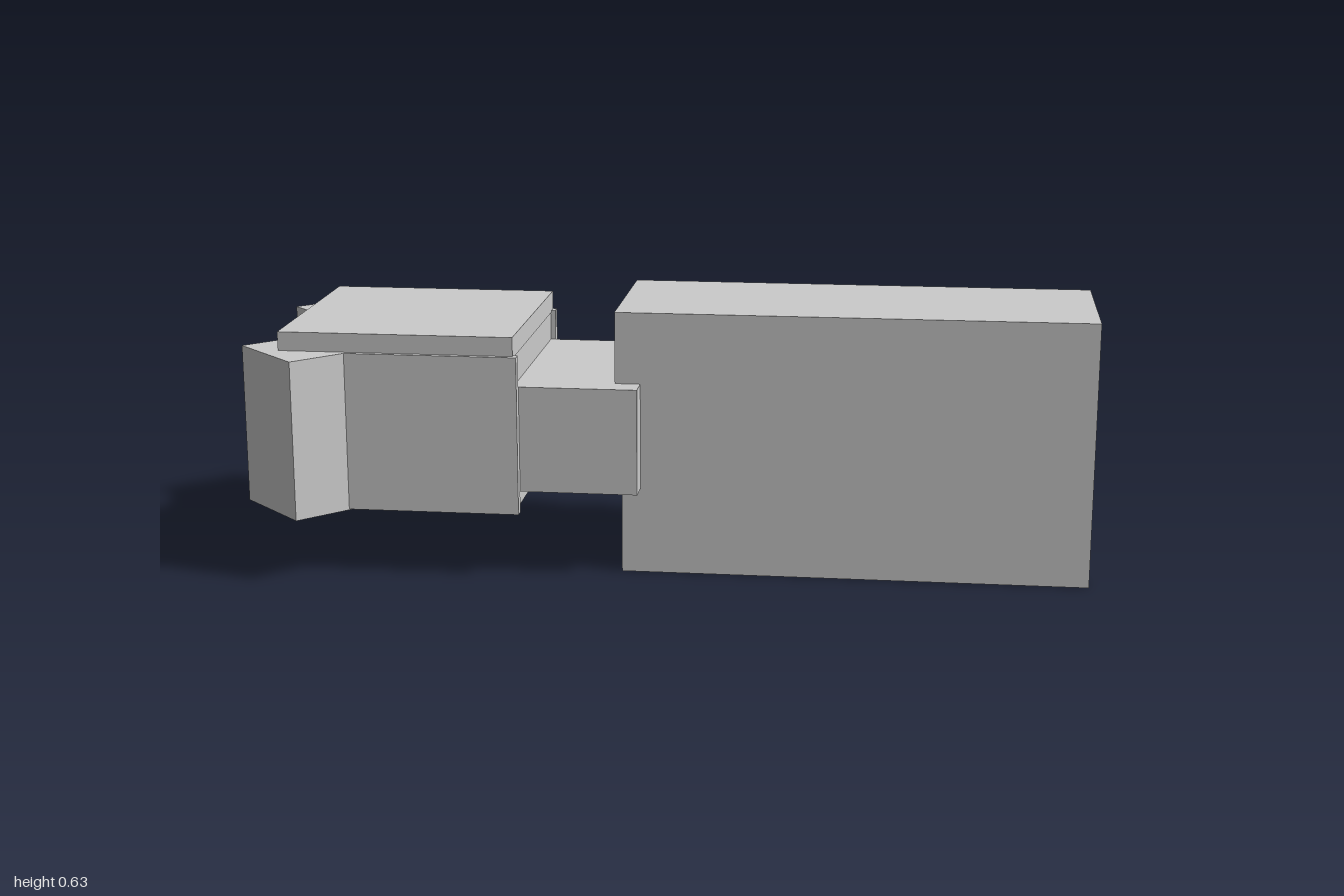
import * as THREE from 'three';

const material = new THREE.MeshStandardMaterial({ color: 0xcccccc, flatShading: true, side: THREE.DoubleSide });

export function createModel() {
  const group = new THREE.Group();
  const add = (name, geometry) => {
    const mesh = new THREE.Mesh(geometry, material);
    mesh.name = name;
    group.add(mesh);
    return mesh;
  };
  // Box given by its minimum and maximum on each axis
  const box = (name, x0, x1, y0, y1, z0, z1) => {
    const mesh = add(name, new THREE.BoxGeometry(x1 - x0, y1 - y0, z1 - z0));
    mesh.position.set((x0 + x1) / 2, (y0 + y1) / 2, (z0 + z1) / 2);
    return mesh;
  };
  const points = (list) => list.map(([x, y]) => new THREE.Vector2(x, y));

  // Long housing: outline open below, with a window above
  const outline = new THREE.Shape(points([
    [-0.2, 0], [-0.15, 0], [-0.15, 0.255], [0.15, 0.255],
    [0.15, 0], [0.2, 0], [0.2, 0.63], [-0.2, 0.63],
  ]));
  outline.holes.push(new THREE.Path(points([
    [-0.15, 0.275], [-0.15, 0.54], [0.15, 0.54], [0.15, 0.275],
  ])));
  const housing = new THREE.ExtrudeGeometry(outline, { depth: 1.1, bevelEnabled: false });
  housing.rotateY(Math.PI / 2).translate(-0.1, 0, 0);
  add('housing', housing);
  box('housingRearCap', -0.115, -0.09, 0.46, 0.63, -0.2, 0.2);
  box('lowerBlock', 0, 0.86, 0, 0.26, -0.15, 0.15);
  box('windowBack', -0.1, 0.4, 0.27, 0.545, -0.15, 0.15);

  // Small latch with a sloped step inside the window
  const latchShape = new THREE.Shape(points([
    [0, 0.275], [0.1, 0.275], [0.1, 0.3], [0.06, 0.318], [0.06, 0.385], [0, 0.385],
  ]));
  const latch = new THREE.ExtrudeGeometry(latchShape, { depth: 0.112, bevelEnabled: false });
  latch.translate(0.4, 0, -0.056);
  add('latch', latch);

  // Neck: two side plates, a roof and cross bars
  for (const s of [-1, 1]) {
    const inner = s * 0.2, outer = s * 0.26;
    box('neckSide', -0.35, -0.055, 0.207, 0.46, Math.min(inner, outer), Math.max(inner, outer));
  }
  box('neckRoof', -0.35, -0.09, 0.4, 0.46, -0.2, 0.2);
  box('neckBar', -0.19, -0.13, 0.207, 0.4, -0.2, 0.2);

  // Head block with side panels and a top plate
  box('headCore', -0.89, -0.345, 0.157, 0.535, -0.26, 0.26);
  for (const s of [-1, 1]) {
    const inner = s * 0.26, outer = s * 0.285;
    box('headSide', -0.88, -0.333, 0.157, 0.535, Math.min(inner, outer), Math.max(inner, outer));
  }
  box('topPlate', -0.9, -0.343, 0.53, 0.58, -0.285, 0.273);

  // Diagonal corner blocks
  for (const s of [-1, 1]) {
    const shape = new THREE.Shape(points([
      [-1, s * 0.23], [-0.84, s * 0.387], [-0.735, s * 0.28], [-0.895, s * 0.125],
    ]));
    const corner = new THREE.ExtrudeGeometry(shape, { depth: 0.38, bevelEnabled: false });
    corner.rotateX(Math.PI / 2).translate(0, 0.535, 0);
    add('cornerBlock', corner);
  }
  return group;
}
